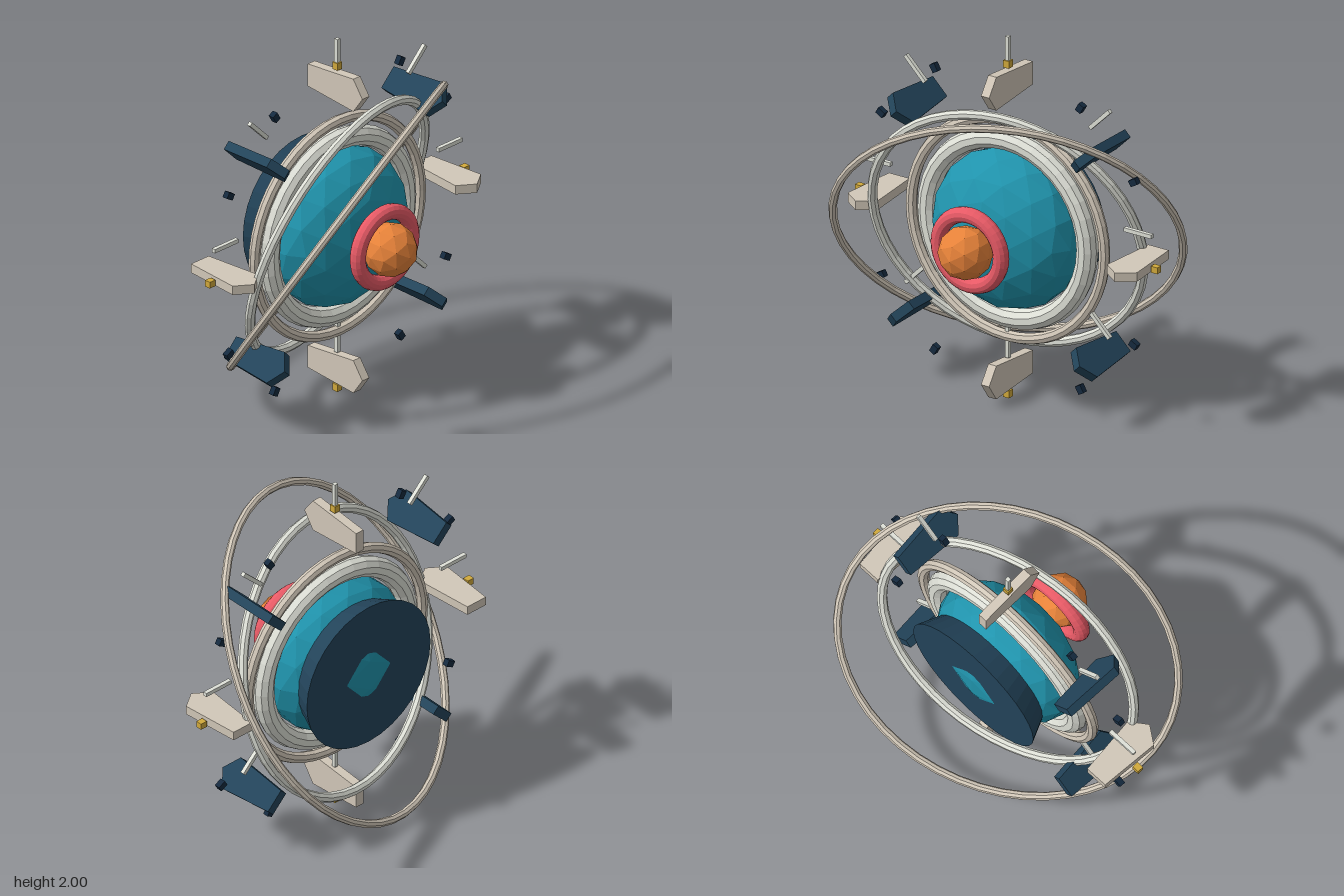
import * as THREE from 'three';

const CENTRE_Y = 0.935;

const paint = (color) => new THREE.MeshStandardMaterial({ color, flatShading: true });
const teal = paint(0x2094ad);
const navy = paint(0x23445a);
const midnight = paint(0x152a3f);
const sand = paint(0xd2c8b9);
const ivory = paint(0xdfe1d8);
const orange = paint(0xe8833a);
const coral = paint(0xe85a66);
const gold = paint(0xd2aa3c);

function add(parent, name, geometry, material, x = 0, y = 0, z = 0) {
  const mesh = new THREE.Mesh(geometry, material);
  mesh.name = name;
  mesh.position.set(x, y, z);
  parent.add(mesh);
  return mesh;
}

// Places copies of a part around the z axis; the part's +x points outward.
function radial(parent, name, geometry, material, radius, degrees, centreY = 0) {
  for (const d of degrees) {
    const a = THREE.MathUtils.degToRad(d);
    const mesh = add(parent, name, geometry, material, radius * Math.cos(a), centreY + radius * Math.sin(a), 0);
    mesh.rotation.z = a;
  }
}

// Fin outline in (outward, z), extruded through its thickness and centred.
function finGeometry() {
  const outline = [[-0.063, -0.187], [0.063, -0.187], [0.092, 0.14], [0, 0.205], [-0.092, 0.14]];
  const shape = new THREE.Shape(outline.map(([r, z]) => new THREE.Vector2(r, z)));
  const geometry = new THREE.ExtrudeGeometry(shape, { depth: 0.05, bevelEnabled: false });
  geometry.translate(0, 0, -0.025);
  geometry.rotateX(Math.PI / 2);
  return geometry;
}

export function createModel() {
  const model = new THREE.Group();
  model.name = 'ringedDevice';
  const body = new THREE.Group();
  body.name = 'body';
  body.position.y = CENTRE_Y;
  model.add(body);

  // Flattened core
  const core = add(body, 'core', new THREE.IcosahedronGeometry(0.432, 2), teal);
  core.scale.z = 0.63;

  // Flared disc behind the core
  const disc = new THREE.CylinderGeometry(0.37, 0.423, 0.125, 32);
  disc.rotateX(Math.PI / 2);
  add(body, 'backDisc', disc, navy, 0, 0, -0.1925);

  // Collars around the core
  add(body, 'innerCollar', new THREE.TorusGeometry(0.49, 0.056, 10, 36), ivory);
  add(body, 'outerCollar', new THREE.TorusGeometry(0.595, 0.03, 8, 48), sand);

  // Front lens and its rim
  add(body, 'lens', new THREE.IcosahedronGeometry(0.143, 1), orange, 0, 0, 0.38);
  add(body, 'lensRim', new THREE.TorusGeometry(0.192, 0.042, 12, 36), coral, 0, 0, 0.34);

  // Tilted orbit rings
  const innerOrbit = add(body, 'innerOrbit', new THREE.TorusGeometry(0.74, 0.027, 8, 48), ivory);
  innerOrbit.rotation.set(0.31, 0.2, 0);
  const outerOrbit = add(body, 'outerOrbit', new THREE.TorusGeometry(0.898, 0.022, 8, 48), sand);
  outerOrbit.rotation.set(0.615, 0.375, 0);

  // Fins, with a gold block outside each upright or level one
  const fin = finGeometry();
  const straight = [0, 90, 180, 270];
  const diagonal = straight.map((d) => d + 45);
  radial(body, 'paleFin', fin, sand, 0.8, straight);
  radial(body, 'darkFin', fin, navy, 0.8, diagonal);
  radial(body, 'goldBlock', new THREE.BoxGeometry(0.04, 0.035, 0.035), gold, 0.913, straight);

  // Small dark blocks between the fins
  const between = straight.flatMap((d) => [d + 30, d + 60]);
  radial(body, 'darkBlock', new THREE.BoxGeometry(0.046, 0.035, 0.032), midnight, 0.9, between);

  // Thin rods on a circle set slightly higher than the core
  const rod = new THREE.BoxGeometry(0.17, 0.022, 0.022);
  radial(body, 'rod', rod, ivory, 0.805, [...straight, ...diagonal], 0.175);

  return model;
}
